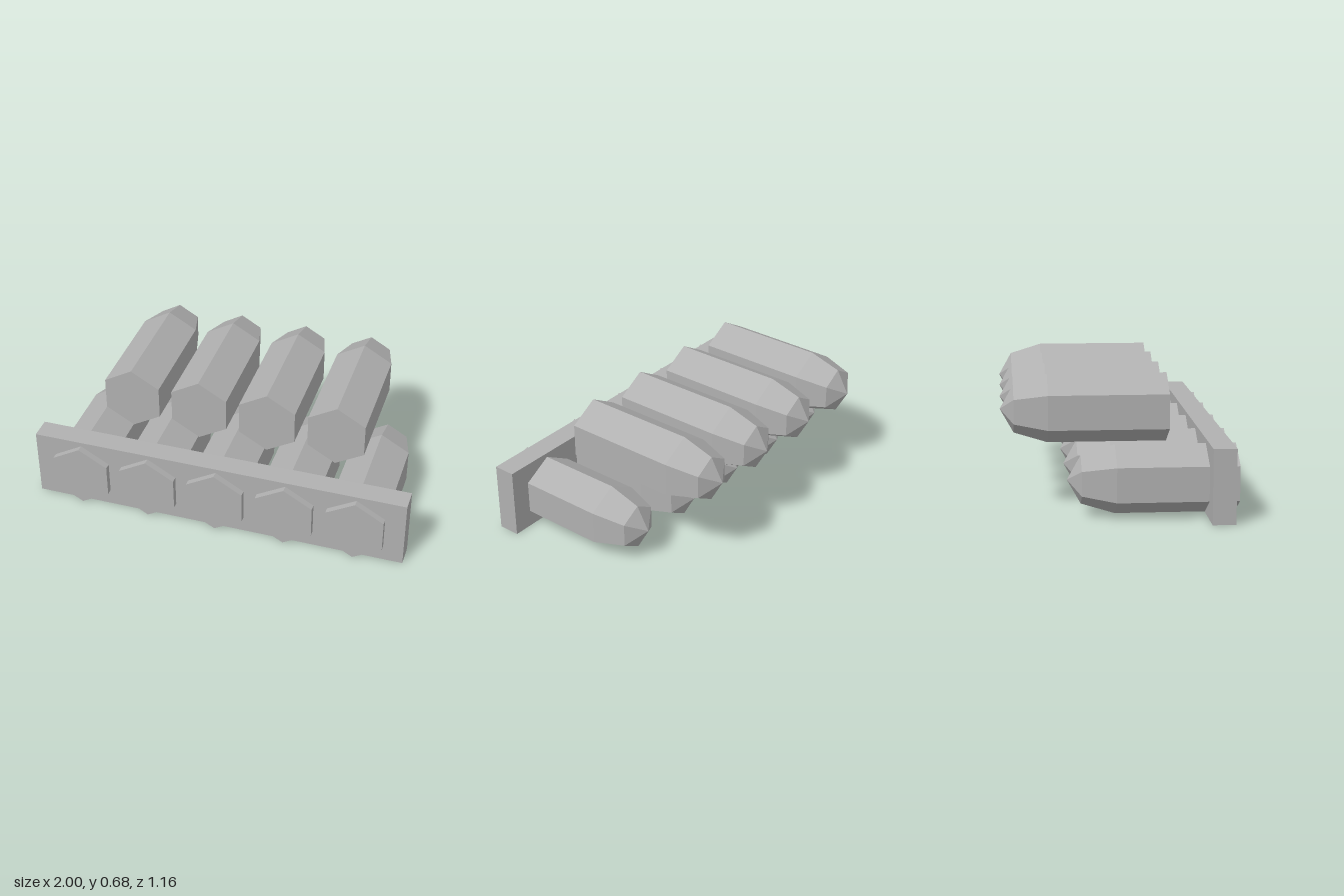
import * as THREE from 'three';

export function createModel() {
  const model = new THREE.Group();
  const grey = new THREE.MeshStandardMaterial({ color: 0xb0b0b0 });
  grey.name = 'grey';

  // Six-sided cartridge: flat rear, straight body, tapered shoulder, pointed tip towards -z
  const profile = [[0, 0], [0.174, 0], [0.174, 0.6], [0.122, 0.768], [0, 0.836]]
    .map(([r, h]) => new THREE.Vector2(r, h));
  const cartridge = new THREE.LatheGeometry(profile, 6).rotateX(-Math.PI / 2).toNonIndexed();
  cartridge.computeVertexNormals(); // flat facets

  function addRow(name, count, y, rearZ) {
    const row = new THREE.Group();
    row.name = name;
    for (let i = 0; i < count; i++) {
      const mesh = new THREE.Mesh(cartridge, grey);
      mesh.name = 'cartridge' + (i + 1);
      mesh.position.set((i - (count - 1) / 2) * 0.372, y, rearZ);
      row.add(mesh);
    }
    model.add(row);
  }
  addRow('lowerRow', 5, 0.177, 0.581);
  addRow('upperRow', 4, 0.502, 0.257);

  // Holder bar around the rear of the lower row
  const bar = new THREE.Mesh(new THREE.BoxGeometry(2, 0.373, 0.115), grey);
  bar.name = 'holderBar';
  bar.position.set(0, 0.1865, 0.489);
  model.add(bar);

  return model;
}
